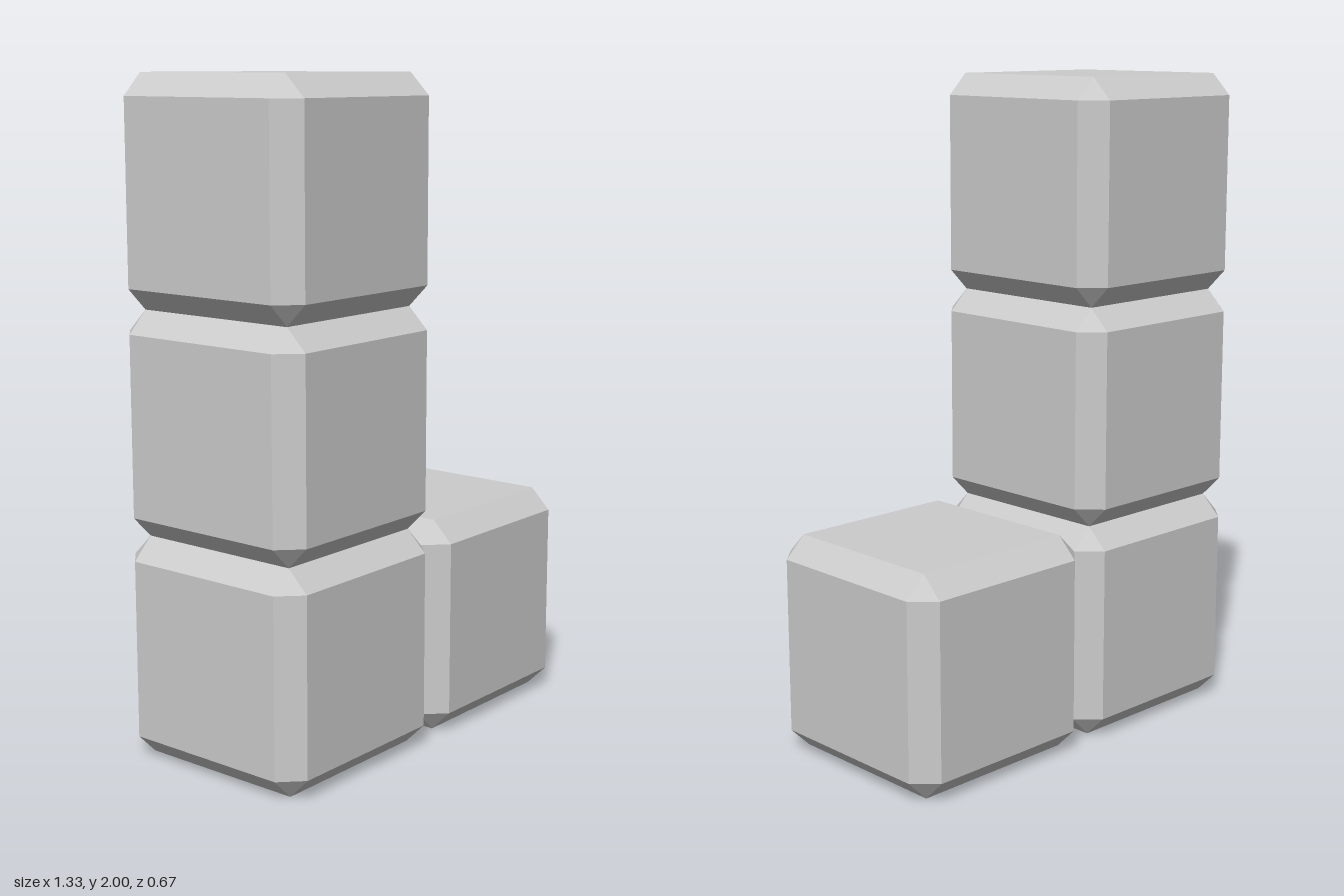
import * as THREE from 'three';
import { ConvexGeometry } from 'three/addons/geometries/ConvexGeometry.js';

const SIZE = 2 / 3;
const BEVEL = 0.065;

// Cube with flat bevelled edges and triangular corners
function bevelledCube(size, bevel) {
  const h = size / 2;
  const i = h - bevel;
  const points = [];
  for (const x of [-1, 1])
    for (const y of [-1, 1])
      for (const z of [-1, 1])
        points.push(
          new THREE.Vector3(x * h, y * i, z * i),
          new THREE.Vector3(x * i, y * h, z * i),
          new THREE.Vector3(x * i, y * i, z * h)
        );
  return new ConvexGeometry(points);
}

export function createModel() {
  const model = new THREE.Group();
  model.name = 'lShapedBlock';
  const material = new THREE.MeshStandardMaterial({ color: 0xcccccc, flatShading: true });
  const geometry = bevelledCube(SIZE, BEVEL);

  // Column of three cubes with a foot on its left: [name, column, row]
  const cubes = [
    ['bottomCube', -0.5, 0.5],
    ['middleCube', -0.5, 1.5],
    ['topCube', -0.5, 2.5],
    ['footCube', 0.5, 0.5],
  ];
  for (const [name, column, row] of cubes) {
    const cube = new THREE.Mesh(geometry, material);
    cube.name = name;
    cube.position.set(column * SIZE, row * SIZE, 0);
    model.add(cube);
  }
  return model;
}
